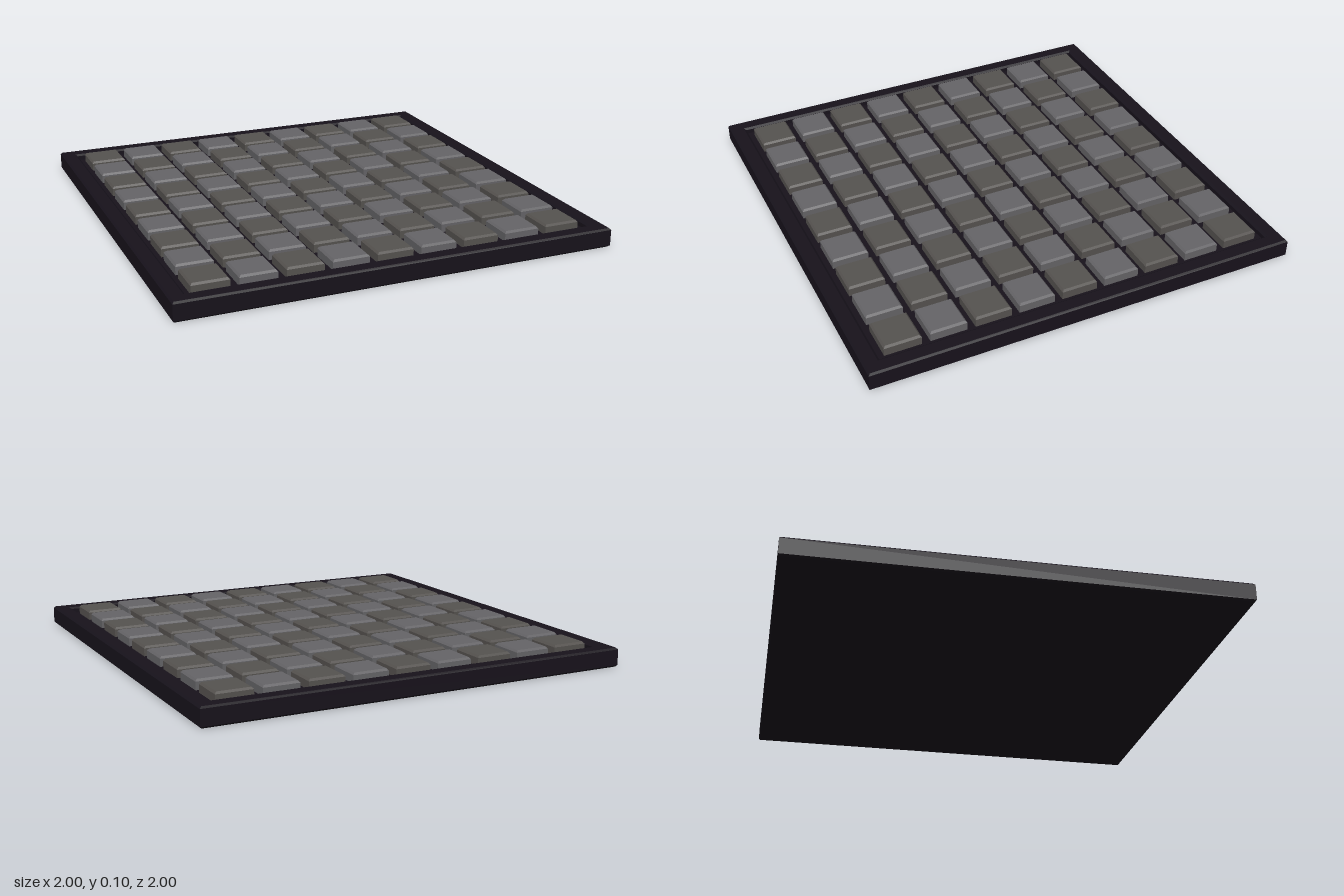
import * as THREE from 'three';

// Square solid of revolution: profile points are [half width, height]
function squareLathe(profile) {
  const pts = profile.map(([r, y]) => new THREE.Vector2(r * Math.SQRT2, y));
  const geo = new THREE.LatheGeometry(pts, 4, Math.PI / 4).toNonIndexed();
  geo.computeVertexNormals();
  return geo;
}

export function createModel() {
  const group = new THREE.Group();
  group.name = 'tiledBoard';
  const material = (color) => new THREE.MeshStandardMaterial({ color, flatShading: true });

  // Tray with chamfered outer edges, a raised rim and a sunken floor
  const tray = new THREE.Mesh(squareLathe([
    [0, 0], [0.992, 0], [1, 0.008], [1, 0.08], [0.992, 0.088],
    [0.937, 0.088], [0.927, 0.08], [0.927, 0.06], [0, 0.06],
  ]), material(0x17121b));
  tray.name = 'tray';
  group.add(tray);

  // Nine by nine chequered tiles with bevelled tops
  const tileGeometry = squareLathe([
    [0, 0.058], [0.083, 0.058], [0.083, 0.096], [0.075, 0.105], [0, 0.105],
  ]);
  const tileMaterials = [material(0x55524f), material(0x656467)];
  const tiles = new THREE.Group();
  tiles.name = 'tiles';
  const count = 9, pitch = 0.203;
  for (let row = 0; row < count; row++) {
    for (let col = 0; col < count; col++) {
      const tile = new THREE.Mesh(tileGeometry, tileMaterials[(row + col) % 2]);
      tile.name = `tile${row + 1}x${col + 1}`;
      tile.position.set((col - 4) * pitch, 0, (row - 4) * pitch);
      tiles.add(tile);
    }
  }
  group.add(tiles);
  return group;
}
